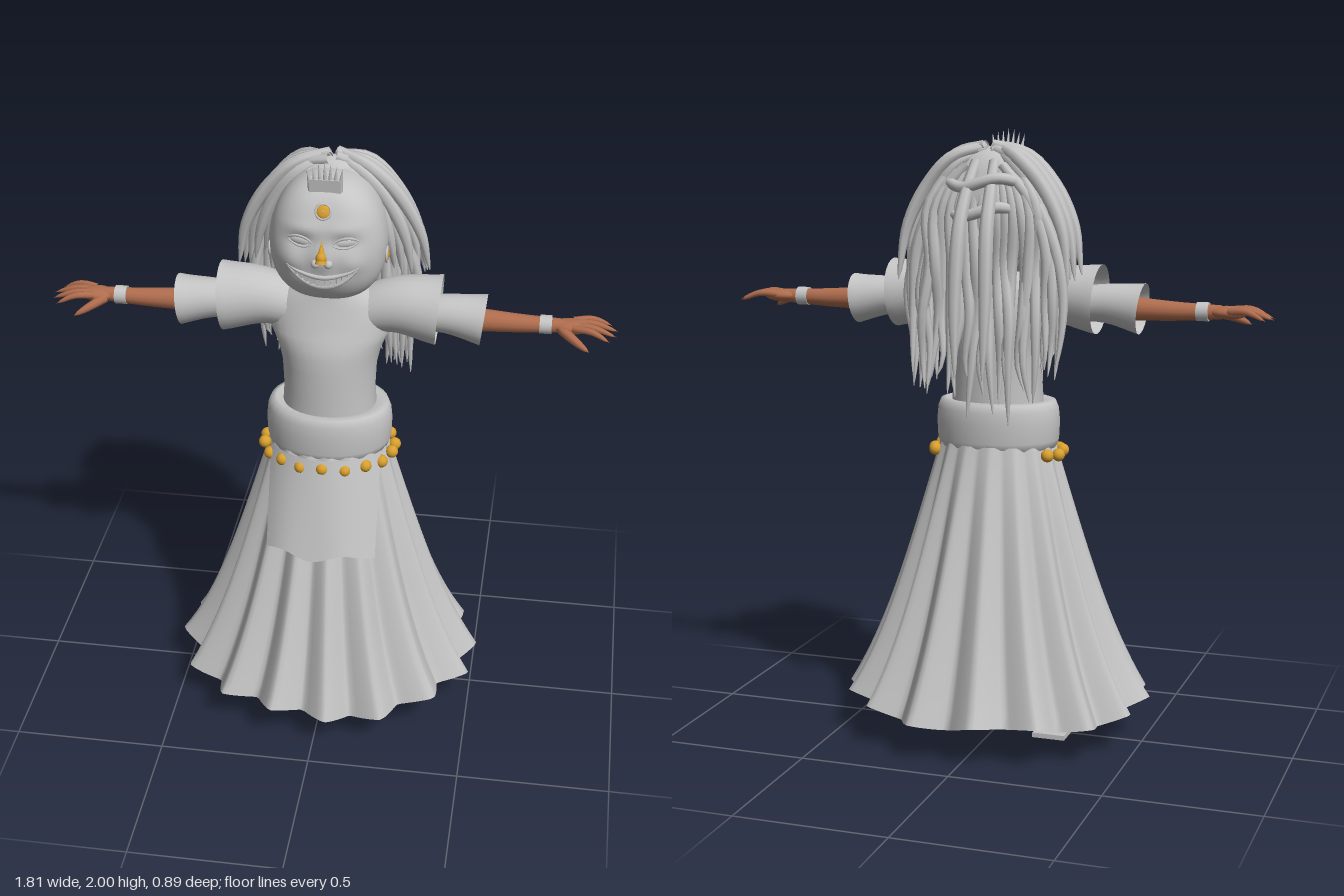
import * as THREE from 'three';
import { mergeVertices } from 'three/addons/utils/BufferGeometryUtils.js';

const V = (x, y, z) => new THREE.Vector3(x, y, z);

export function createModel() {
  const model = new THREE.Group();
  const grey = new THREE.MeshStandardMaterial({ color: 0xc4c4c4, side: THREE.DoubleSide });
  grey.name = 'pale grey';
  const skin = new THREE.MeshStandardMaterial({ color: 0xb06d4e });
  skin.name = 'brown skin';
  const gold = new THREE.MeshStandardMaterial({ color: 0xd89f2e });
  gold.name = 'gold';

  let seed = 7;
  const rnd = () => (seed = (seed * 16807) % 2147483647) / 2147483647;

  const add = (name, geo, mat, x = 0, y = 0, z = 0) => {
    const m = new THREE.Mesh(geo, mat);
    m.name = name;
    m.position.set(x, y, z);
    model.add(m);
    return m;
  };

  // Smooth grid surface from a point rule, u and v in 0..1
  const surface = (f, nu, nv) => {
    const pos = [], idx = [];
    for (let j = 0; j <= nv; j++) for (let i = 0; i <= nu; i++) pos.push(...f(i / nu, j / nv));
    for (let j = 0; j < nv; j++) for (let i = 0; i < nu; i++) {
      const a = j * (nu + 1) + i, b = a + nu + 1;
      idx.push(a, a + 1, b + 1, a, b + 1, b);
    }
    let g = new THREE.BufferGeometry();
    g.setAttribute('position', new THREE.Float32BufferAttribute(pos, 3));
    g.setIndex(idx);
    g = mergeVertices(g, 1e-5);
    g.computeVertexNormals();
    return g;
  };

  // Tube through points with a radius that changes along its length
  const taper = (pts, radius, sides = 8, steps = 16) => {
    const c = new THREE.CatmullRomCurve3(pts);
    const fr = c.computeFrenetFrames(steps);
    return surface((u, v) => {
      const k = Math.round(v * steps), a = u * Math.PI * 2;
      return c.getPointAt(v).addScaledVector(fr.normals[k], radius(v) * Math.cos(a))
        .addScaledVector(fr.binormals[k], radius(v) * Math.sin(a)).toArray();
    }, sides, steps);
  };

  // Stack of ellipses: [y, rx, rz, cz]
  const stack = (rows, sides = 36) => surface((u, v) => {
    const r = rows[Math.round(v * (rows.length - 1))], a = u * Math.PI * 2;
    return [r[1] * Math.sin(a), r[0], r[3] + r[2] * Math.cos(a)];
  }, sides, rows.length - 1);

  // Pleated skirt, s runs from waist (0) to hem (1)
  const base = s => [0.19 + 0.23 * s + 0.065 * s ** 4, 0.155 + 0.23 * s + 0.03 * s ** 4];
  add('skirt', surface((u, v) => {
    const s = 1 - v, a = u * Math.PI * 2, [rx, rz] = base(s);
    const fold = Math.asin(0.97 * Math.cos(16 * (a - 0.1) + 0.5 * Math.sin(3 * a))) / 1.33;
    const k = (0.004 + 0.03 * s) * fold;
    const y = 0.99 - 0.865 * s + s ** 6 * (0.012 * fold - 0.012 * Math.sin(5 * a));
    return [(rx + k) * Math.sin(a), y, (rz + k) * Math.cos(a)];
  }, 192, 20), grey);

  // Front apron
  add('apron', surface((u, v) => {
    const s = 0.38 * (1 - v), [rx, rz] = base(s), x = 0.18 * (2 * u - 1);
    const y = 0.99 - 0.86 * s + (1 - v) * 0.012 * Math.sin(u * 11);
    return [x, y, (rz + 0.02) * Math.sqrt(1 - (x / (rx + 0.015)) ** 2)];
  }, 28, 10), grey);

  // Padded belt and its gold beads
  add('belt', stack([[0.97, 0.18, 0.14, 0], [0.975, 0.195, 0.152, 0], [1.0, 0.203, 0.158, 0], [1.06, 0.206, 0.16, 0],
    [1.1, 0.202, 0.158, 0], [1.125, 0.192, 0.15, 0], [1.13, 0.175, 0.135, 0], [1.12, 0.14, 0.11, 0]]), grey);
  for (let i = -6; i <= 6; i++) {
    const a = i * 0.34;
    add('beltBead', new THREE.SphereGeometry(0.021, 14, 10), gold, 0.215 * Math.sin(a), 0.96 - 0.006 * Math.abs(i % 2), 0.172 * Math.cos(a));
  }

  // Torso and neck
  add('torso', stack([[1.08, 0.155, 0.13, -0.005], [1.18, 0.148, 0.13, -0.005], [1.27, 0.152, 0.13, -0.005], [1.32, 0.163, 0.13, -0.007],
    [1.36, 0.178, 0.127, -0.01], [1.39, 0.193, 0.12, -0.015], [1.44, 0.2, 0.11, -0.02], [1.49, 0.19, 0.097, -0.02],
    [1.52, 0.15, 0.088, -0.018], [1.54, 0.115, 0.082, -0.015], [1.57, 0.09, 0.08, -0.01]]), grey);

  // Arms, sleeves, bracelets, hands and feet, mirrored
  for (const s of [1, -1]) {
    add('shoulderSleeve', taper([V(s * 0.1, 1.448, -0.02), V(s * 0.22, 1.475, -0.02), V(s * 0.346, 1.466, -0.02)], t => 0.072 + 0.04 * t, 24, 10), grey);
    add('lowerSleeve', taper([V(s * 0.25, 1.448, -0.02), V(s * 0.37, 1.454, -0.02), V(s * 0.486, 1.441, -0.02)], t => 0.056 + 0.026 * t * t, 24, 10), grey);
    add('arm', taper([V(s * 0.4, 1.44, -0.02), V(s * 0.48, 1.44, -0.02), V(s * 0.6, 1.438, -0.02), V(s * 0.74, 1.44, -0.02)],
      t => 0.041 - 0.019 * t, 14, 14), skin);
    const cuff = add('bracelet', new THREE.CylinderGeometry(0.03, 0.03, 0.038, 20), grey, s * 0.68, 1.44, -0.02);
    cuff.rotation.z = Math.PI / 2;
    const palm = add('palm', new THREE.SphereGeometry(1, 16, 12), skin, s * 0.76, 1.44, -0.02);
    palm.scale.set(0.062, 0.021, 0.038);
    for (let i = 0; i < 4; i++) {
      const z = -0.047 + i * 0.018, spread = (i - 1.3) * 0.02, reach = [0.885, 0.905, 0.9, 0.88][i];
      add('finger', taper([V(s * 0.765, 1.446, z), V(s * 0.825, 1.448, z + spread * 0.6), V(s * reach, 1.424, z + spread)],
        t => 0.012 * Math.sqrt(1.02 - t ** 4) - 0.003 * t, 8, 8), skin);
    }
    add('thumb', taper([V(s * 0.73, 1.435, 0), V(s * 0.77, 1.42, 0.035), V(s * 0.82, 1.395, 0.062)],
      t => 0.016 * Math.sqrt(1.02 - t ** 3) - 0.003 * t, 8, 8), skin);

    // Leg, foot, toes and sandal
    const x = s * 0.2;
    add('ankle', new THREE.CylinderGeometry(0.038, 0.033, 0.12, 14), skin, x, 0.115, -0.03);
    add('foot', taper([V(x, 0.045, -0.076), V(x, 0.055, -0.04), V(x, 0.056, 0.02), V(x, 0.043, 0.08), V(x, 0.031, 0.15)],
      t => Math.min(0.037 * Math.sqrt(0.15 + 6 * t), 0.04 - 0.026 * t), 12, 16), skin);
    for (let i = -2; i <= 2; i++) {
      const toe = add('toe', new THREE.SphereGeometry(1, 10, 8), skin, x + i * 0.017, 0.028, 0.152 - (s * i + 2) * 0.006);
      toe.scale.set(0.01, 0.01, 0.03);
    }
    add('sandalSole', new THREE.BoxGeometry(0.11, 0.016, 0.27), grey, x, 0.01, 0.055);
    add('sandalStrap', taper([V(x - 0.04, 0.015, 0.034), V(x - 0.036, 0.07, 0.032), V(x, 0.095, 0.03), V(x + 0.036, 0.07, 0.032), V(x + 0.04, 0.015, 0.034)],
      () => 0.006, 6, 14), grey);
  }

  // Head: rounded box form with sculpted face relief
  const HY = 1.722, HZ = 0.012, A = 0.182, B = 0.202, C = 0.148;
  const bump = (x, y, cx, cy, w, h, d) => d * Math.exp(-(((x - cx) / w) ** 2) - ((y - cy) / h) ** 2);
  const relief = (x, y) => {
    const m = Math.abs(x);
    return bump(x, y, 0, 1.7, 0.028, 0.04, 0.016) + bump(m, y, 0.07, 1.755, 0.04, 0.02, -0.013)
      + bump(m, y, 0.095, 1.69, 0.04, 0.035, 0.01) + bump(m, y, 0.06, 1.8, 0.06, 0.018, 0.005)
      + bump(x, y, 0, 1.625, 0.08, 0.03, 0.006) + bump(x, y, 0, 1.85, 0.06, 0.05, -0.006);
  };
  const pw = (n, e) => Math.sign(n) * Math.abs(n) ** e;
  const headZ = (x, y) => HZ + relief(x, y)
    + C * Math.max(0, 1 - Math.abs((y - HY) / B) ** 2.5 - Math.abs(x / A) ** 2.5) ** 0.4;
  add('head', surface((u, v) => {
    const a = u * Math.PI * 2, p = (v - 0.5) * Math.PI, w = Math.abs(Math.cos(p)) ** 0.8;
    const x = A * w * pw(Math.sin(a), 0.8), y = HY + B * pw(Math.sin(p), 0.8), z = C * w * pw(Math.cos(a), 0.8);
    const front = THREE.MathUtils.smoothstep(z, 0.02, 0.1);
    return [x * (1 - 0.6 * Math.max(0, y - HY)), y, HZ + z + front * relief(x, y)];
  }, 80, 64), grey);

  // Face line: a tube lying on the face along y = f(x)
  const faceLine = (name, x0, x1, f, r) => {
    const pts = [];
    for (let i = 0; i <= 8; i++) {
      const x = x0 + (x1 - x0) * i / 8;
      pts.push(V(x, f(x), headZ(x, f(x))));
    }
    add(name, taper(pts, t => r * (0.3 + 0.7 * Math.sin(Math.PI * t)), 7, 16), grey);
  };
  // Round jewel: gold dome in a grey rim, facing +z before turning
  const jewel = (name, x, y, z, rx, ry) => {
    const rim = add(name + 'Rim', new THREE.TorusGeometry(0.023, 0.004, 8, 24), grey, x, y, z);
    const dome = add(name + 'Gold', new THREE.SphereGeometry(1, 20, 10), gold, x, y, z);
    dome.scale.set(0.021, 0.021, 0.007);
    const dot = add(name + 'Dot', new THREE.SphereGeometry(1, 10, 8), grey, x, y, z);
    dot.scale.set(0.005, 0.005, 0.009);
    for (const m of [rim, dome, dot]) m.rotation.set(rx, ry, 0);
  };
  for (const s of [1, -1]) {
    const eye = add('eye', new THREE.SphereGeometry(1, 18, 12), grey, s * 0.07, 1.755, headZ(0.07, 1.755) - 0.002);
    eye.scale.set(0.036, 0.015, 0.009);
    eye.rotation.set(0, s * 0.22, s * 0.1);
    const arc = (x, h) => 1.755 + h * (1 - ((s * x - 0.07) / 0.042) ** 2) + (s * x - 0.07) * 0.12;
    faceLine('upperLid', s * 0.03, s * 0.112, x => arc(x, 0.018), 0.005);
    faceLine('lowerLid', s * 0.03, s * 0.112, x => arc(x, -0.015), 0.004);
    add('nostril', new THREE.SphereGeometry(0.014, 12, 8), grey, s * 0.02, 1.692, headZ(0.02, 1.692) - 0.003);
    jewel('earring', s * 0.182, 1.67, 0.025, 0, s * Math.PI / 2);
  }
  faceLine('upperLip', -0.112, 0.112, x => 1.643 + 2.8 * x * x, 0.008);
  faceLine('lowerLip', -0.112, 0.112, x => 1.607 + 5.5 * x * x, 0.009);
  for (let i = 0; i < 11; i++) {
    const x = (i - 5) * 0.0165, y = 1.626 + 4 * x * x;
    const tooth = add('tooth', new THREE.BoxGeometry(0.0145, 0.026 - 2 * x * x, 0.01), grey, x, y, headZ(x, y) - 0.002);
    tooth.rotation.y = x * 4;
  }
  // Gold nose ornament and forehead medallion
  const nose = add('noseOrnament', new THREE.ConeGeometry(0.018, 0.07, 12), gold, 0, 1.735, 0.174);
  nose.rotation.x = -0.3;
  const tip = add('noseTip', new THREE.SphereGeometry(0.017, 12, 8), gold, 0, 1.718, 0.18);
  tip.scale.set(1, 1.1, 0.95);
  jewel('medallion', 0, 1.85, headZ(0, 1.85), -0.4, 0);

  // Spiked crown
  add('crownBase', new THREE.BoxGeometry(0.095, 0.05, 0.022), grey, 0, 1.915, 0.09).rotation.x = 0.1;
  for (let i = -3; i <= 3; i++) {
    const h = 0.1 - Math.abs(i) * 0.006;
    const spike = add('crownSpike', new THREE.ConeGeometry(0.011, h, 8), grey, i * 0.0162, 1.9 + h / 2, 0.097);
    spike.rotation.set(0.2, 0, -i * 0.05);
  }

  // Hair: scalp mass with long tapered locks
  const scalp = add('scalpHair', new THREE.SphereGeometry(1, 28, 20), grey, 0, 1.745, -0.075);
  scalp.scale.set(0.165, 0.2, 0.1);
  const lock = (pts, r) => add('hairLock', taper(pts, t => r * (0.75 + 0.35 * Math.sin(Math.PI * t)) * Math.sqrt(1.01 - t ** 3), 7, 18), grey);
  const wob = d => (rnd() - 0.5) * d;
  for (const s of [1, -1]) {
    // Arching upper locks that sweep out and end near the shoulders
    for (let j = 0; j < 11; j++) {
      const k = j / 10, z = -0.04 - 0.1 * ((j * 0.618) % 1);
      lock([V(s * 0.01, 1.92 + 0.03 * k, -0.05 - 0.05 * rnd()), V(s * (0.08 + 0.035 * k), 1.885 + 0.035 * k, z),
        V(s * (0.155 + 0.05 * k), 1.77 + 0.06 * k, z - 0.005), V(s * (0.185 + 0.09 * k), 1.66 + 0.04 * k, z - 0.015),
        V(s * (0.195 + 0.11 * k), 1.55 + wob(0.06), z - 0.03)], 0.022);
    }
    // Thinner locks falling beside the back
    for (let j = 0; j < 11; j++) {
      const k = j / 10, z = -0.06 - 0.09 * rnd();
      lock([V(s * 0.06, 1.89, z), V(s * (0.14 + 0.03 * k), 1.78, z - 0.01), V(s * (0.165 + 0.08 * k), 1.62, z - 0.02),
        V(s * (0.17 + 0.09 * k) + wob(0.03), 1.47, z - 0.03 + wob(0.03)), V(s * (0.17 + 0.08 * k) + wob(0.03), 1.32, z - 0.04 + wob(0.03)),
        V(s * (0.17 + 0.08 * k), 1.1 + 0.17 * rnd() + 0.06 * k, z - 0.05)], 0.018);
    }
    // Two thick trailing locks behind
    lock([V(s * 0.03, 1.9, -0.13), V(s * 0.04, 1.8, -0.2), V(s * 0.045, 1.7, -0.25), V(s * 0.05, 1.45, -0.285), V(s * 0.045, 1.23, -0.297)], 0.022);
  }
  for (let i = 0; i < 15; i++) {
    const x = (i - 7) * 0.026;
    lock([V(x * 0.6, 1.88, -0.13), V(x, 1.75, -0.165), V(x + wob(0.04), 1.58, -0.165 + wob(0.04)), V(x + wob(0.04), 1.42, -0.17 + wob(0.04)),
      V(x + wob(0.04), 1.27, -0.18 + wob(0.03)), V(x + wob(0.04), 1.07 + 0.15 * rnd(), -0.185)], 0.019);
  }
  // Ties wrapped across the back of the hair
  for (const y of [1.83, 1.74]) {
    add('hairTie', taper([V(-0.13, y, -0.13), V(-0.06, y + 0.02, -0.185), V(0.06, y - 0.01, -0.185), V(0.13, y + 0.01, -0.13)], () => 0.018, 8, 14), grey);
  }
  return model;
}
